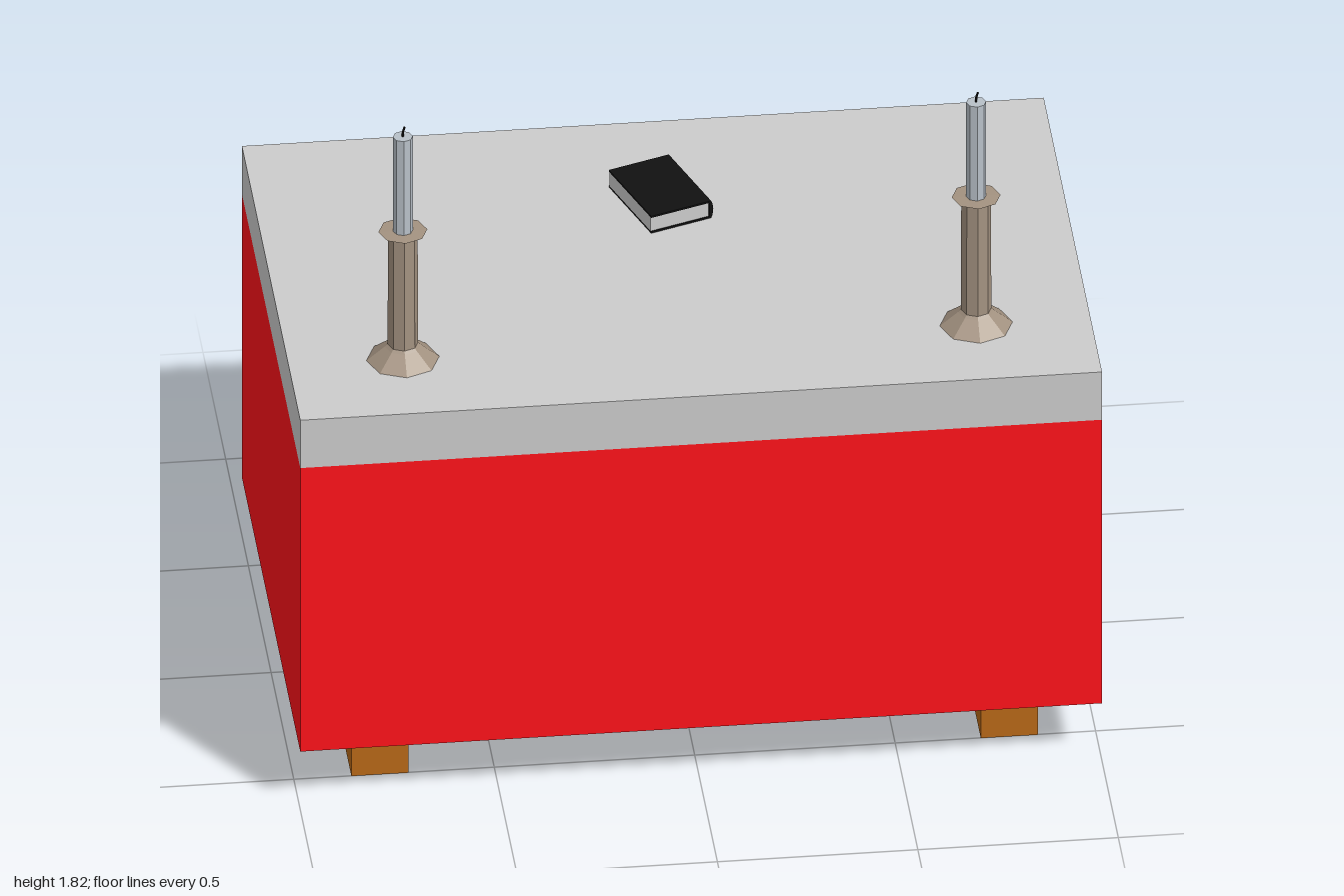
import * as THREE from 'three';

const mat = (color, side = THREE.FrontSide) =>
  new THREE.MeshStandardMaterial({ color, side, flatShading: true });

const grey = mat(0xcccccc, THREE.DoubleSide);
const red = mat(0xff121a, THREE.DoubleSide);
const wood = mat(0xb86818, THREE.DoubleSide);
const bronze = mat(0xa39280, THREE.DoubleSide);
const wax = mat(0xb8c0c8);
const black = mat(0x111111, THREE.DoubleSide);
const paper = mat(0xcccccc);
const ribbonRed = mat(0xee1020, THREE.DoubleSide);

function add(parent, name, geometry, material, x = 0, y = 0, z = 0) {
  const mesh = new THREE.Mesh(geometry, material);
  mesh.name = name;
  mesh.position.set(x, y, z);
  parent.add(mesh);
  return mesh;
}

// Box without top and/or bottom: drop face groups (2 = top, 3 = bottom)
function openBox(w, h, d, dropped) {
  const g = new THREE.BoxGeometry(w, h, d);
  const index = Array.from(g.index.array);
  g.setIndex(index.filter((_, i) => !dropped.includes(Math.floor(i / 6))));
  g.clearGroups();
  return g;
}

function makeCandlestick(side) {
  const stick = new THREE.Group();
  stick.name = side > 0 ? 'leftCandlestick' : 'rightCandlestick';
  // flared foot, column and thin drip plate
  const profile = [[0.091, 0], [0.045, 0.038], [0.038, 0.045], [0.037, 0.372], [0.061, 0.374], [0, 0.376]]
    .map(([r, y]) => new THREE.Vector2(r, y));
  add(stick, 'holder', new THREE.LatheGeometry(profile, 8), bronze);
  add(stick, 'candle', new THREE.CylinderGeometry(0.025, 0.025, 0.275, 8), wax, 0, 0.5125, 0);
  // slightly bent wick
  const wick = new THREE.CatmullRomCurve3([
    new THREE.Vector3(0, 0.645, 0), new THREE.Vector3(0, 0.662, 0), new THREE.Vector3(0.004, 0.677, 0),
  ]);
  add(stick, 'wick', new THREE.TubeGeometry(wick, 4, 0.003, 5), black);
  stick.position.set(side * 0.715, 1.14, 0.385);
  return stick;
}

function makeBook() {
  const book = new THREE.Group();
  book.name = 'book';
  const w = 0.165, d = 0.24, h = 0.05, t = 0.005;
  add(book, 'pages', new THREE.BoxGeometry(w - 0.006, h - 2 * t, d - 0.006), paper, -0.003, h / 2, 0);
  for (const y of [t / 2, h - t / 2]) add(book, 'cover', new THREE.BoxGeometry(w, t, d), black, 0, y, 0);

  // rounded spine along the model's left edge
  const shape = new THREE.Shape();
  shape.moveTo(-0.005, 0);
  shape.lineTo(0, 0);
  shape.quadraticCurveTo(0.012, h / 2, 0, h);
  shape.lineTo(-0.005, h);
  const spine = new THREE.ExtrudeGeometry(shape, { depth: d, bevelEnabled: false, curveSegments: 6 });
  add(book, 'spine', spine, black, w / 2, 0, -d / 2);

  // ribbon marker drooping from the far end of the pages
  const ribbon = new THREE.PlaneGeometry(0.016, 1, 1, 4);
  const path = [[-0.11, 0.024], [-0.122, 0.024], [-0.137, 0.016], [-0.147, 0.004], [-0.162, 0.002]];
  const p = ribbon.attributes.position;
  for (let i = 0; i < p.count; i++) {
    const [z, y] = path[Math.floor(i / 2)];
    p.setXYZ(i, p.getX(i) + 0.03, y, z);
  }
  ribbon.computeVertexNormals();
  add(book, 'ribbon', ribbon, ribbonRed);

  book.position.set(0, 1.14, -0.265);
  book.rotation.y = 0.34;
  return book;
}

export function createModel() {
  const model = new THREE.Group();
  model.name = 'altarTable';

  // Cloth: a pale cap over a red skirt, open underneath
  add(model, 'topCloth', openBox(2, 0.14, 1.285, [3]), grey, 0, 1.07, 0);
  add(model, 'skirt', openBox(2, 0.83, 1.285, [2, 3]), red, 0, 0.585, 0);

  // Legs
  for (const x of [-0.785, 0.785])
    for (const z of [-0.43, 0.43])
      add(model, 'leg', openBox(0.143, 0.7, 0.143, [2, 3]), wood, x, 0.35, z);

  for (const side of [-1, 1]) model.add(makeCandlestick(side));
  model.add(makeBook());
  return model;
}
